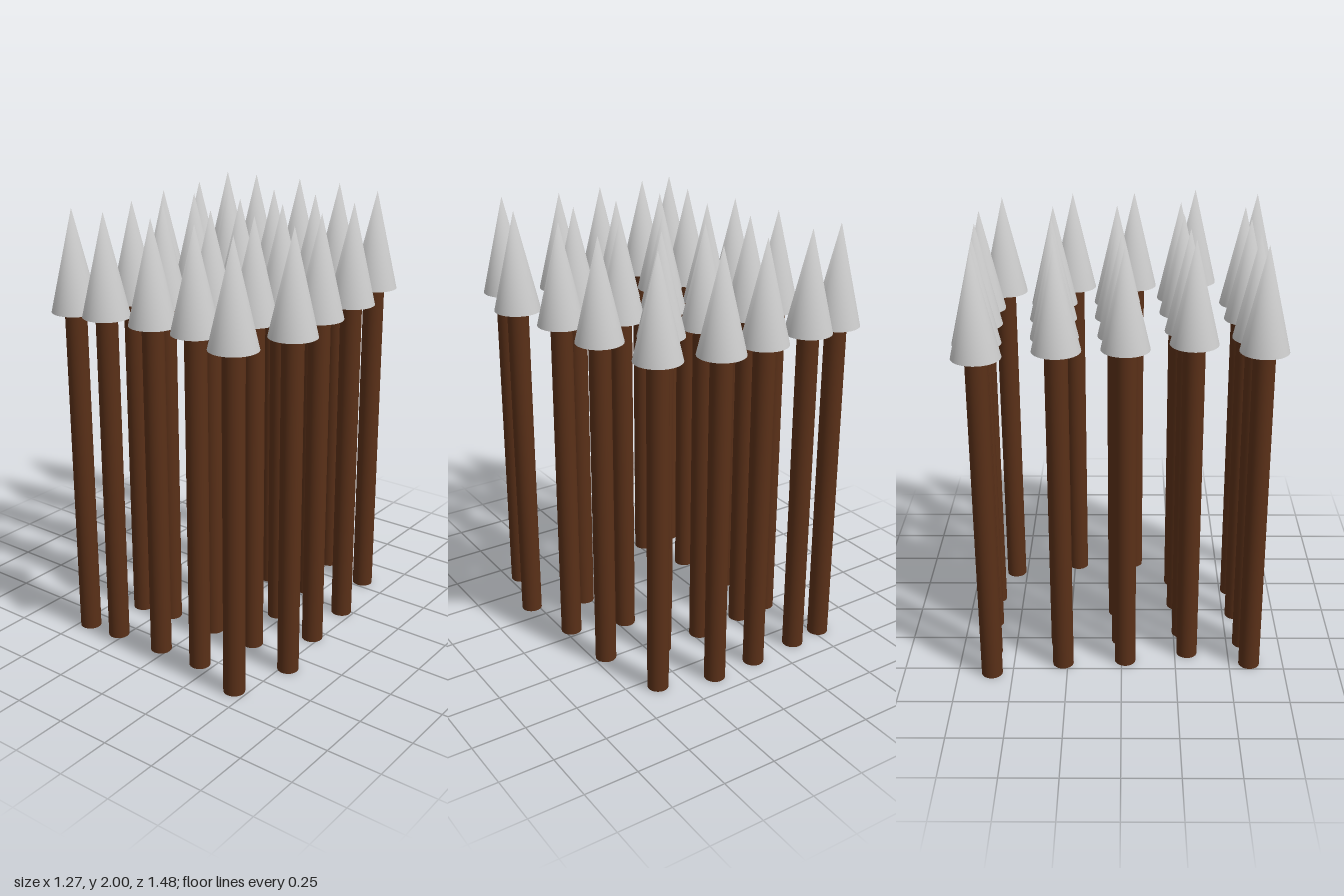
import * as THREE from 'three';

const SHAFT_R = 0.048, TIP_R = 0.105, SHAFT_H = 1.55, TIP_H = 0.45;

// One rank of five stakes [x, z], repeated with a shift per rank
const RANK = [[-0.53, -0.595], [-0.363, -0.611], [-0.116, -0.628], [0.108, -0.634], [0.363, -0.555]];
const SHIFTS = [[0, 0], [0.078, 0.324], [0.1, 0.612], [0.163, 0.902], [0.078, 1.188]];

// Cone whose shading rounds off softly towards the point
function makeTip() {
  const geometry = new THREE.ConeGeometry(TIP_R, TIP_H, 32);
  const { position, normal } = geometry.attributes;
  for (let i = 0; i < position.count; i++) {
    if (position.getY(i) > TIP_H / 2 - 1e-4) normal.setXYZ(i, 0, 1, 0);
  }
  return geometry.translate(0, SHAFT_H + TIP_H / 2, 0);
}

export function createModel() {
  const model = new THREE.Group();
  model.name = 'spikeField';

  const wood = new THREE.MeshStandardMaterial({ color: 0x5a3018 });
  const metal = new THREE.MeshStandardMaterial({ color: 0xcccccc });
  const shaftGeometry = new THREE.CylinderGeometry(SHAFT_R, SHAFT_R, SHAFT_H, 32).translate(0, SHAFT_H / 2, 0);
  const tipGeometry = makeTip();

  SHIFTS.forEach(([dx, dz], r) => {
    const rank = new THREE.Group();
    rank.name = `rank${r + 1}`;
    rank.position.set(dx, 0, dz);

    RANK.forEach(([x, z], c) => {
      const spear = new THREE.Group();
      spear.name = `spear${c + 1}`;
      spear.position.set(x, 0, z);

      // Wooden shaft
      const shaft = new THREE.Mesh(shaftGeometry, wood);
      shaft.name = 'shaft';
      // Pointed metal head
      const tip = new THREE.Mesh(tipGeometry, metal);
      tip.name = 'tip';

      spear.add(shaft, tip);
      rank.add(spear);
    });
    model.add(rank);
  });
  return model;
}
